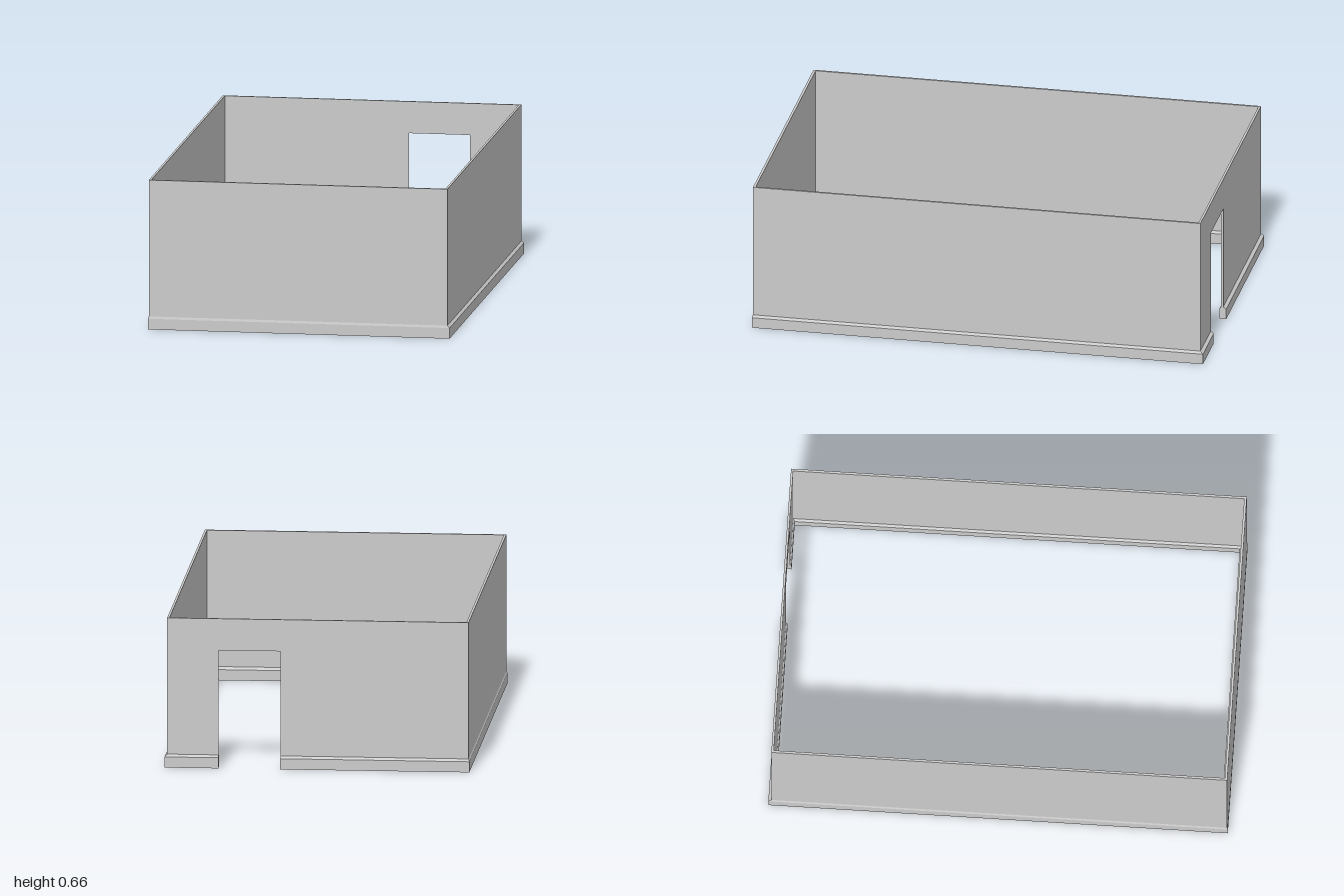
import * as THREE from 'three';

const HEIGHT = 0.66, DOOR = { x0: 0.16, x1: 0.43, top: 0.52 };

// Plan outlines, from the outside in
const skirtOuter = { x0: -0.664, x1: 0.664, z0: -1.0, z1: 1.0 };
const wallOuter = { x0: -0.66, x1: 0.654, z0: -0.987, z1: 0.997 };
const wallInner = { x0: -0.65, x1: 0.644, z0: -0.977, z1: 0.986 };
const skirtInner = { x0: -0.64, x1: 0.634, z0: -0.97, z1: 0.967 };

// Stations around the room, from one door jamb to the other
const stations = [
  r => [DOOR.x1, r.z0], r => [r.x1, r.z0], r => [r.x1, r.z1],
  r => [r.x0, r.z1], r => [r.x0, r.z0], r => [DOOR.x0, r.z0],
];

// Sweep a closed convex profile of [outline, height] around the room, mitred at the corners
function sweep(profile) {
  const n = profile.length, last = stations.length - 1, pos = [];
  const point = (i, j) => {
    const [outline, y] = profile[j % n];
    const [x, z] = stations[i](outline);
    return [x, y, z];
  };
  for (let i = 0; i < last; i++) {
    for (let j = 0; j < n; j++) {
      const a = point(i, j), b = point(i, j + 1), c = point(i + 1, j + 1), d = point(i + 1, j);
      pos.push(...a, ...b, ...c, ...a, ...c, ...d);
    }
  }
  // Cut ends at the door
  for (let j = 1; j < n - 1; j++) {
    pos.push(...point(0, 0), ...point(0, j + 1), ...point(0, j));
    pos.push(...point(last, 0), ...point(last, j), ...point(last, j + 1));
  }
  const geometry = new THREE.BufferGeometry();
  geometry.setAttribute('position', new THREE.Float32BufferAttribute(pos, 3));
  geometry.computeVertexNormals();
  return geometry;
}

export function createModel() {
  const group = new THREE.Group();
  group.name = 'room';
  const material = new THREE.MeshStandardMaterial({ color: 0xcccccc });
  const add = (name, geometry) => {
    const mesh = new THREE.Mesh(geometry, material);
    mesh.name = name;
    group.add(mesh);
    return mesh;
  };

  // Four thin walls, open at the doorway
  add('walls', sweep([
    [wallOuter, 0.03], [wallOuter, HEIGHT], [wallInner, HEIGHT], [wallInner, 0.03],
  ]));

  // Wall above the doorway
  const depth = wallInner.z0 - wallOuter.z0;
  add('doorLintel', new THREE.BoxGeometry(DOOR.x1 - DOOR.x0, HEIGHT - DOOR.top, depth))
    .position.set((DOOR.x0 + DOOR.x1) / 2, (HEIGHT + DOOR.top) / 2, wallOuter.z0 + depth / 2);

  // Skirting on both faces of the walls, with a bevelled top edge
  add('skirting', sweep([
    [skirtOuter, 0], [skirtOuter, 0.047], [wallOuter, 0.057],
    [wallInner, 0.057], [skirtInner, 0.047], [skirtInner, 0],
  ]));

  return group;
}
